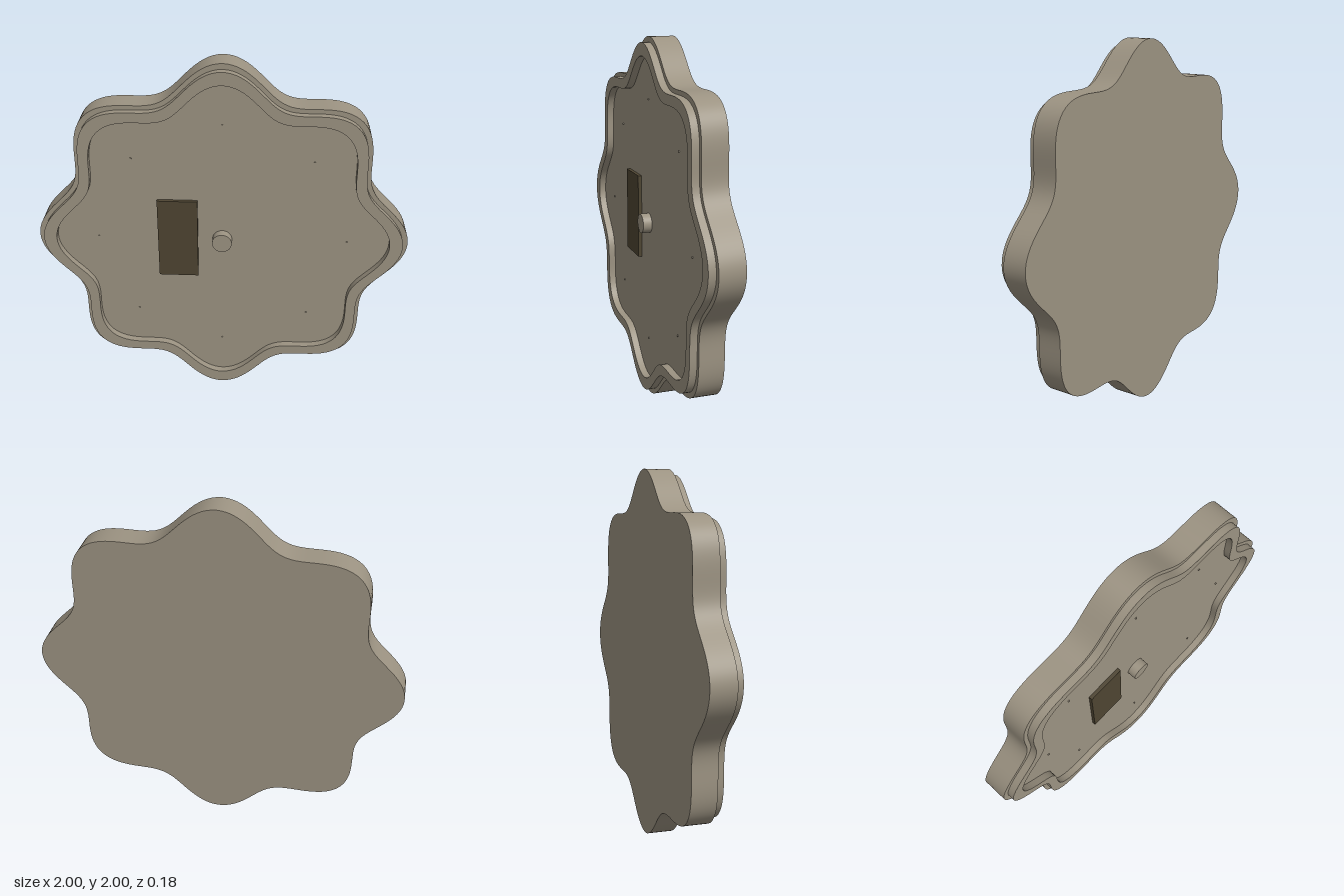
import * as THREE from 'three';
import { toCreasedNormals } from 'three/addons/utils/BufferGeometryUtils.js';

// Eight-lobed wavy outline, lobe tips at radius `scale`
function wavyPoints(scale, count = 256) {
  return Array.from({ length: count }, (_, i) => {
    const a = (i / count) * Math.PI * 2;
    const r = scale * (0.926 + 0.074 * Math.cos(8 * a));
    return new THREE.Vector2(r * Math.cos(a), r * Math.sin(a));
  });
}

// Extrudes a wavy plate from z0 to z1, optionally with a wavy opening
function wavyPlate(scale, z0, z1, holeScale) {
  const shape = new THREE.Shape(wavyPoints(scale));
  if (holeScale) shape.holes.push(new THREE.Path(wavyPoints(holeScale)));
  const geometry = new THREE.ExtrudeGeometry(shape, { depth: z1 - z0, bevelEnabled: false });
  geometry.translate(0, 0, z0);
  return toCreasedNormals(geometry, Math.PI / 6);
}

// Cylinder pointing forward, from z0 to z1
function peg(radius, z0, z1, sides) {
  return new THREE.CylinderGeometry(radius, radius, z1 - z0, sides)
    .rotateX(Math.PI / 2)
    .translate(0, 0, (z0 + z1) / 2);
}

export function createModel() {
  const stone = new THREE.MeshStandardMaterial({ name: 'warm grey', color: 0x9c9382 });
  const dark = new THREE.MeshStandardMaterial({ name: 'dark brown', color: 0x4e4532 });
  const model = new THREE.Group();
  model.name = 'wavyDial';

  const add = (name, geometry, material, x = 0, y = 0, z = 0) => {
    const mesh = new THREE.Mesh(geometry, material);
    mesh.name = name;
    mesh.position.set(x, y + 1, z);
    model.add(mesh);
  };

  const back = -0.092, floor = 0.043, rimTop = 0.082, front = 0.092;

  // Body and the stepped rim around its recessed face
  add('body', wavyPlate(1, back, floor), stone);
  add('rim', wavyPlate(0.97, floor, rimTop, 0.9), stone);

  // Centre button
  add('centreButton', peg(0.053, floor - 0.005, front, 48), stone);

  // Dark rectangular panel left of the button
  add('panel', new THREE.BoxGeometry(0.216, 0.467, 0.02), dark, -0.24, 0.003, floor + 0.01);

  // Ring of eight tiny studs
  for (let i = 0; i < 8; i++) {
    const a = (i * Math.PI) / 4;
    add('stud' + (i + 1), peg(0.005, floor - 0.002, floor + 0.006, 12), stone,
      0.674 * Math.cos(a), 0.674 * Math.sin(a));
  }
  return model;
}
